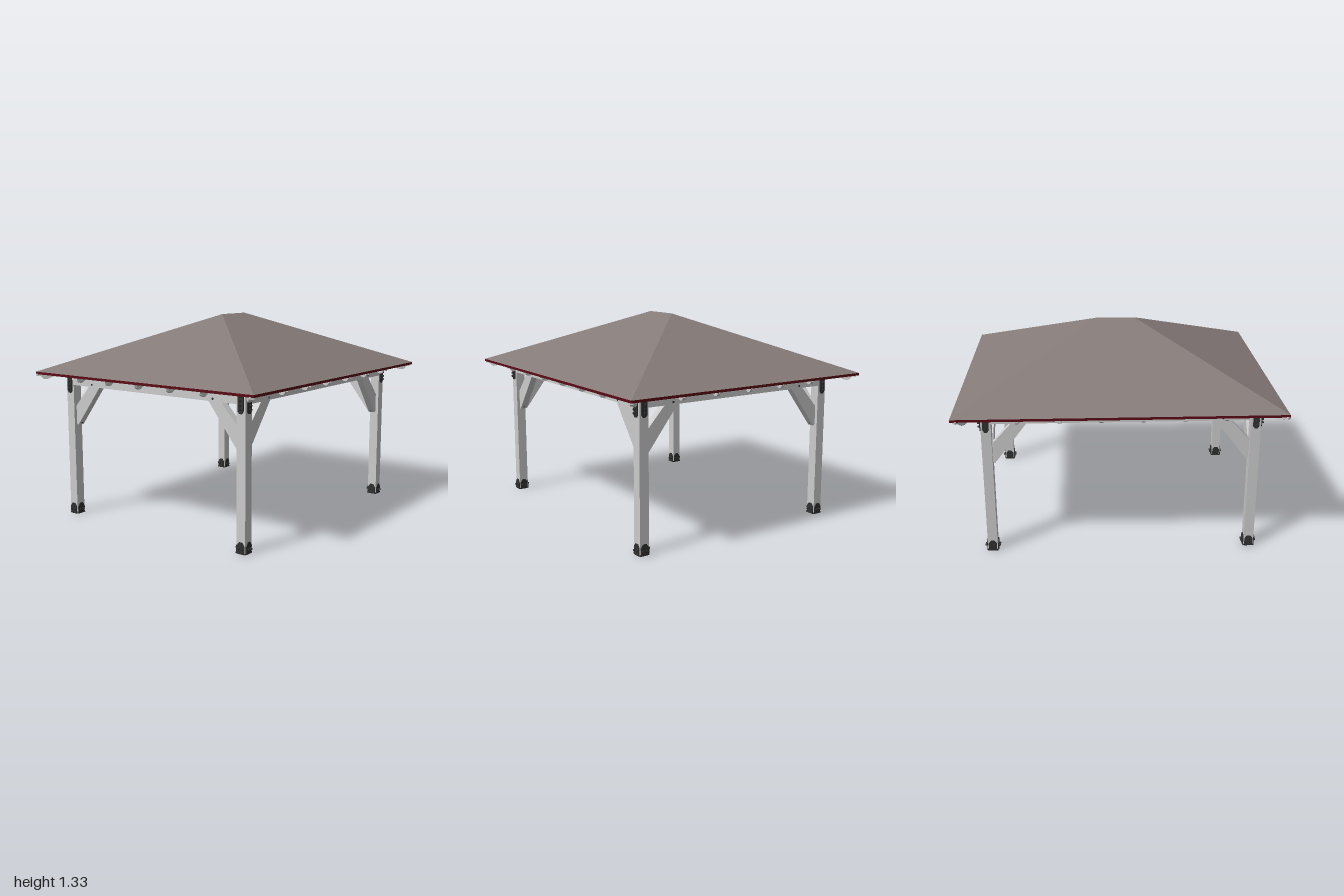
import * as THREE from 'three';

const mat = (color, side = THREE.FrontSide) =>
  new THREE.MeshStandardMaterial({ color, side, flatShading: true });
const wood = mat(0xcccccc), metal = mat(0x303030), trim = mat(0x5a0a14);
const shingle = mat(0x857b79, THREE.DoubleSide), boards = mat(0x4f3018, THREE.DoubleSide);

const HX = 0.87, HZ = 1, RIDGE = 0.127, TOP = 1.325, EAVE = 0.96;
const SLOPE = (TOP - EAVE) / HX;
const PX = 0.692, PZ = 0.82, PW = 0.062;      // post centres and width
const BEAM_LOW = 0.873, BEAM_TOP = 0.955;

function add(parent, name, geometry, material, x = 0, y = 0, z = 0) {
  const mesh = new THREE.Mesh(geometry, material);
  mesh.name = name;
  mesh.position.set(x, y, z);
  parent.add(mesh);
  return mesh;
}
const box = (w, h, d) => new THREE.BoxGeometry(w, h, d);

// Flat outline in x-y, extruded and centred on z
function slab(points, depth) {
  const shape = new THREE.Shape(points.map(([x, y]) => new THREE.Vector2(x, y)));
  return new THREE.ExtrudeGeometry(shape, { depth, bevelEnabled: false }).translate(0, 0, -depth / 2);
}

// Four-plane hip surface, lowered by a drop
function hipSurface(drop) {
  const e = EAVE - drop, t = TOP - drop;
  const pos = [
    -HX, e, HZ, HX, e, HZ, HX, e, -HZ, -HX, e, -HZ, 0, t, RIDGE, 0, t, -RIDGE,
  ];
  const g = new THREE.BufferGeometry();
  g.setAttribute('position', new THREE.Float32BufferAttribute(pos, 3));
  g.setIndex([0, 1, 4, 1, 2, 5, 1, 5, 4, 2, 3, 5, 3, 0, 4, 3, 4, 5]);
  const flat = g.toNonIndexed();
  flat.computeVertexNormals();
  return flat;
}

// Sloping rafter with a curved tail; distances run outward from the ridge
function rafterGeometry(start, stretch = 1, width = 0.022) {
  const top = d => TOP - 0.017 - SLOPE * d;
  const outline = [
    [start, 0], [0.862, 0], [0.862, 0.014], [0.85, 0.017], [0.842, 0.024],
    [0.838, 0.034], [0.832, 0.044], [0.822, 0.052], [0.808, 0.055],
    [0.79, 0.05], [0.77, 0.055], [start, 0.055],
  ];
  return slab(outline.map(([d, drop]) => [d * stretch, top(d) - drop]).reverse(), width);
}

// Hex bolt head pointing along +z
const boltGeometry = new THREE.CylinderGeometry(0.007, 0.007, 0.014, 6).rotateX(Math.PI / 2);

// Steel plate facing +z, with clipped points
function plate(w, y0, y1, pointedBottom) {
  const h = w / 2, c = w * 0.4, s = w * 0.22;
  const low = pointedBottom ? [[-h, y0 + c], [-s, y0], [s, y0], [h, y0 + c]] : [[-h, y0], [h, y0]];
  return slab([...low, [h, y1 - c], [s, y1], [-s, y1], [-h, y1 - c]], 0.008);
}

// Post with its base shoe, corner straps and braces; +x and +z sides face outward
function corner(sx, sz) {
  const g = new THREE.Group();
  g.name = 'cornerPost';
  g.position.set(sx * PX, 0, sz * PZ);
  add(g, 'post', box(PW, BEAM_LOW, PW), wood, 0, BEAM_LOW / 2, 0);
  add(g, 'basePlate', box(PW + 0.006, 0.008, PW + 0.006), metal, 0, 0.004, 0);
  for (let i = 0; i < 4; i++) {
    const side = new THREE.Group();
    side.name = 'postHardware';
    side.rotation.y = i * Math.PI / 2;
    g.add(side);
    add(side, 'baseBracket', plate(0.052, 0, 0.07, false), metal, 0, 0, PW / 2 + 0.002);
    for (const x of [-0.012, 0.012]) add(side, 'baseBolt', boltGeometry, metal, x, 0.03, PW / 2 + 0.01);
    const outward = (i === 0 && sz > 0) || (i === 2 && sz < 0) || (i === 1 && sx > 0) || (i === 3 && sx < 0);
    if (!outward) continue;
    add(side, 'cornerStrap', plate(0.038, 0.82, 0.948, true), metal, 0, 0, PW / 2 + 0.004);
    for (const y of [0.845, 0.868, 0.895, 0.922])
      add(side, 'strapBolt', boltGeometry, metal, 0, y, PW / 2 + 0.014);
  }
  // One brace toward the middle along x, the other along z
  const outline = [[0, 0.615], [0.012, 0.605], [0.219, 0.873], [0.235, 0.9], [0.15, 0.9], [0.126, 0.873], [0, 0.735]];
  const geometry = slab(outline, 0.046);
  for (const alongX of [true, false]) {
    const arm = new THREE.Group();
    arm.name = 'kneeBrace';
    arm.rotation.y = alongX ? (sx > 0 ? Math.PI : 0) : (sz > 0 ? Math.PI / 2 : -Math.PI / 2);
    const inset = 0.012;
    arm.position.set(alongX ? -sx * PW / 2 : -sx * inset, 0, alongX ? -sz * inset : -sz * PW / 2);
    g.add(arm);
    add(arm, 'brace', geometry, wood);
    for (const s of [-1, 1]) {
      add(arm, 'braceBolt', boltGeometry, metal, 0.17, 0.888, s * 0.038);
    }
    const foot = add(arm, 'footBolt', boltGeometry, metal, 0.018, 0.622, 0);
    foot.rotation.y = Math.PI / 2;
  }
  return g;
}

export function createModel() {
  const model = new THREE.Group();
  model.name = 'pavilion';

  // Roof covering, ceiling boards and fascia
  const roof = new THREE.Group();
  roof.name = 'roof';
  model.add(roof);
  add(roof, 'roofCovering', hipSurface(0), shingle);
  add(roof, 'ceilingBoards', hipSurface(0.014), boards);
  for (const s of [-1, 1]) {
    add(roof, 'fascia', box(HX * 2, 0.016, 0.008), trim, 0, EAVE - 0.008, s * (HZ - 0.004));
    add(roof, 'fascia', box(0.008, 0.016, HZ * 2), trim, s * (HX - 0.004), EAVE - 0.008, 0);
  }

  const frame = new THREE.Group();
  frame.name = 'timberFrame';
  frame.position.set(-0.005, 0, 0.01);
  model.add(frame);

  // Posts and ring of beams
  const beamH = BEAM_TOP - BEAM_LOW, beamY = BEAM_LOW + beamH / 2;
  for (const s of [-1, 1]) {
    for (const t of [-1, 1]) frame.add(corner(s, t));
    add(frame, 'crossBeam', box(PX * 2 + PW, beamH, PW), wood, 0, beamY, s * PZ);
    add(frame, 'sideBeam', box(PW, beamH, PZ * 2 - PW), wood, s * PX, beamY, 0);
  }

  // Ridge board
  add(frame, 'ridgeBoard', box(0.022, 0.07, RIDGE * 2), wood, 0, TOP - 0.06, 0);

  const place = (name, geometry, x, z, angle) => {
    add(frame, name, geometry, wood, x, 0, z).rotation.y = angle;
  };
  // Rafters on the two long sides
  for (const z of [-0.62, -0.372, -0.124, 0.124, 0.372, 0.62]) {
    const geometry = rafterGeometry(Math.max(0, Math.abs(z) - 0.124));
    place('sideRafter', geometry, 0, z, 0);
    place('sideRafter', geometry, 0, z, Math.PI);
  }
  // Rafters on the front and back
  for (const x of [-0.495, -0.248, 0, 0.248, 0.495]) {
    const geometry = rafterGeometry(Math.abs(x));
    place('endRafter', geometry, x, 0.124, -Math.PI / 2);
    place('endRafter', geometry, x, -0.124, Math.PI / 2);
  }
  // Hip rafters to the four corners
  const hip = rafterGeometry(0, Math.SQRT2, 0.028);
  for (const s of [-1, 1]) for (const t of [-1, 1])
    place('hipRafter', hip, 0, t * 0.124, Math.atan2(-t, s));

  return model;
}
